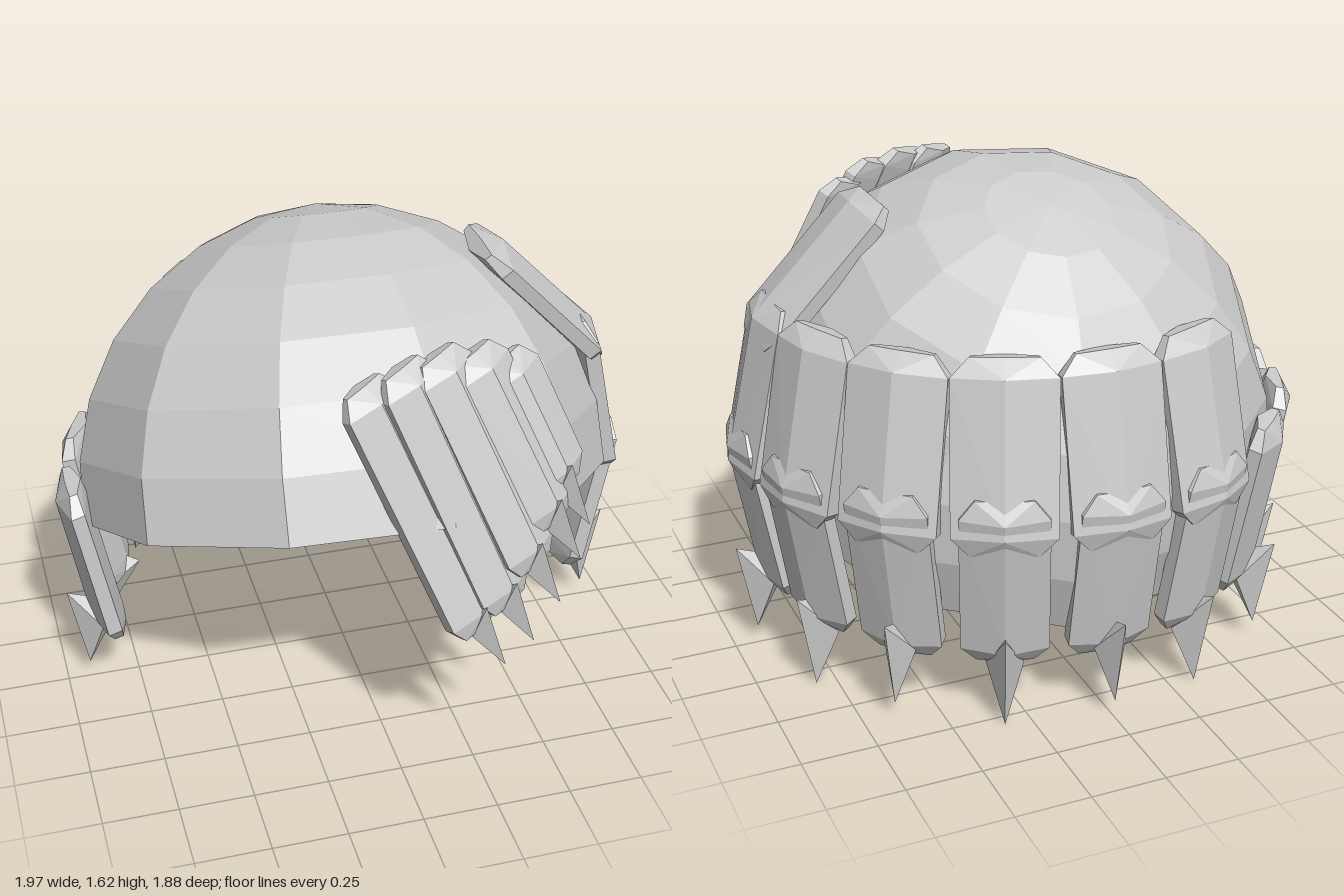
import * as THREE from 'three';
import { ConvexGeometry } from 'three/addons/geometries/ConvexGeometry.js';

const V = (x, y, z) => new THREE.Vector3(x, y, z);

export function createModel() {
  const root = new THREE.Group();
  root.name = 'hair';
  const hair = new THREE.MeshStandardMaterial({ color: 0xcccccc, flatShading: true, side: THREE.DoubleSide });
  hair.name = 'hairGrey';

  // Orients a mesh: local y along "up", local z towards "out"
  function place(mesh, pos, up, out) {
    const y = up.clone().normalize();
    const x = y.clone().cross(out).normalize();
    const z = x.clone().cross(y);
    mesh.quaternion.setFromRotationMatrix(new THREE.Matrix4().makeBasis(x, y, z));
    mesh.position.copy(pos);
    root.add(mesh);
  }

  // Flat strand with a central ridge and chamfered ends
  function addLock(name, top, bottom, out, width, thick) {
    const len = top.distanceTo(bottom);
    const w = width / 2, t = thick / 2, c = Math.min(0.06, len * 0.15);
    const pts = [];
    // [height, width scale, outer depth, inner depth]
    const rows = [
      [len / 2, 0.65, 0.1, -0.8],
      [len / 2 - c, 1, 0.9, -0.9],
      [-len / 2 + c, 1, 1, -0.9],
      [-len / 2, 0.65, 0.3, -0.8],
    ];
    for (const [y, s, o, i] of rows) {
      pts.push(V(0, y, o * t), V(0, y, i * t));
      for (const k of [-1, 1]) {
        pts.push(V(k * w * s, y, o * t * 0.35), V(k * w * s * 0.95, y, i * t * 0.5));
      }
    }
    const mesh = new THREE.Mesh(new ConvexGeometry(pts), hair);
    mesh.name = name;
    place(mesh, top.clone().add(bottom).multiplyScalar(0.5), top.clone().sub(bottom), out);
  }

  // Kite-shaped pointed tip
  function addSpike(name, pos, up, out, s) {
    const pts = [
      V(0, 0.13, 0.11), V(0, 0.06, -0.08), V(-0.055, 0, 0), V(0.055, 0, 0), V(0, -0.18, 0.05),
    ].map((p) => p.multiplyScalar(s));
    const mesh = new THREE.Mesh(new ConvexGeometry(pts), hair);
    mesh.name = name;
    place(mesh, pos, up, out);
  }

  // Open skull cap, tilted backwards
  const cap = new THREE.Mesh(
    new THREE.SphereGeometry(0.9, 11, 7, 0, Math.PI * 2, 0, THREE.MathUtils.degToRad(94.5)), hair);
  cap.name = 'cap';
  cap.position.set(0, 0.73, -0.01);
  cap.rotation.x = THREE.MathUtils.degToRad(-23);
  root.add(cap);

  // Strands hanging round the sides and back
  const up = V(0, 1, 0);
  for (let i = 0; i < 9; i++) {
    const a = (i * Math.PI) / 8;
    const out = V(-Math.cos(a), 0, -Math.sin(a));
    const at = (r, y) => V(out.x * r, y, out.z * r * 0.97);
    addLock('lowerLock', at(0.945, 0.83), at(0.83, 0.22), out, 0.28, 0.12);
    const odd = i % 2;
    addSpike('lowerTip', at(odd ? 0.83 : 0.87, odd ? 0.205 : 0.25), up, out, odd ? 1.1 : 1);
    // second tier, missing on the right side
    if (i >= 3) addLock('middleLock', at(0.81, 1.24), at(0.935, 0.64), out, 0.33, 0.13);
  }
  // single strand of the third tier
  addLock('upperLock', V(0.46, 1.54, 0.01), V(0.87, 1.11, 0.01), V(0.7, 0.7, 0), 0.36, 0.12);

  // Swept fringe: [top, bottom, tip]
  const fringe = [
    [V(-0.12, 1.45, 0.67), V(0.21, 0.64, 0.86)],
    [V(0.0, 1.49, 0.66), V(0.31, 0.7, 0.84)],
    [V(0.12, 1.5, 0.63), V(0.4, 0.81, 0.81)],
    [V(0.24, 1.48, 0.61), V(0.48, 0.92, 0.75)],
    [V(0.35, 1.43, 0.58), V(0.53, 1.0, 0.69)],
  ];
  for (const [top, bottom] of fringe) {
    const out = V(0.45, 0.3, 0.85);
    addLock('fringeLock', top, bottom, out, 0.22, 0.11);
    const dir = bottom.clone().sub(top).normalize();
    addSpike('fringeTip', bottom.clone().addScaledVector(dir, 0.01), dir.clone().negate(), out, 0.75);
  }
  return root;
}
